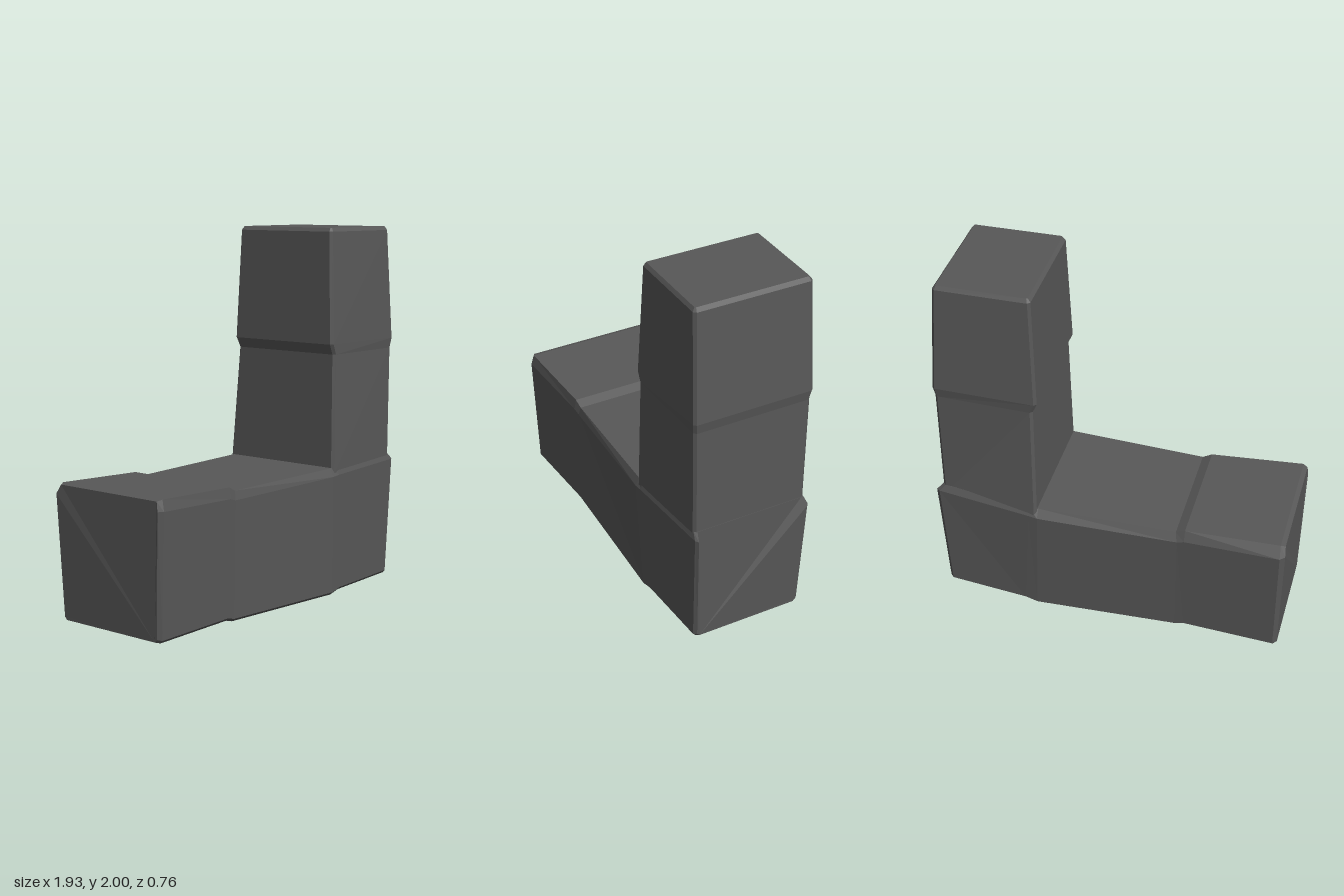
import * as THREE from 'three';

// Skin a series of matching rings into a closed, faceted solid
function loft(rings) {
  const pos = [];
  const tri = (a, b, c) => pos.push(...a, ...b, ...c);
  const n = rings[0].length;
  for (let i = 0; i < rings.length - 1; i++) {
    const p = rings[i], q = rings[i + 1];
    for (let j = 0; j < n; j++) {
      const k = (j + 1) % n;
      tri(p[j], p[k], q[k]);
      tri(p[j], q[k], q[j]);
    }
  }
  const first = rings[0], last = rings[rings.length - 1];
  for (let j = 1; j < n - 1; j++) {
    tri(first[0], first[j + 1], first[j]);
    tri(last[0], last[j], last[j + 1]);
  }
  const g = new THREE.BufferGeometry();
  g.setAttribute('position', new THREE.Float32BufferAttribute(pos, 3));
  g.computeVertexNormals();
  return g;
}

// Ring across the base: x and half-depths at the bottom, shoulder and top
function baseRing([xb, xs, xt], [yb, ys, yt], [fb, fs, ft], [bb, bs, bt]) {
  return [
    [xb, yb, fb - 0.015], [xb, yb, bb + 0.015], [xb, yb + 0.015, bb],
    [xs, ys, bs], [xt, yt, bt], [xt, yt, ft], [xs, ys, fs], [xb, yb + 0.015, fb],
  ];
}

// Ring across the column: a trapezoid with chamfered corners
function columnRing([y, x0, x1, f0, f1, b0, b1], c = 0.014) {
  return [
    [x0 + c, y, f0], [x1 - c, y, f1], [x1, y, f1 - c], [x1, y, b1 + c],
    [x1 - c, y, b1], [x0 + c, y, b0], [x0, y, b0 + c], [x0, y, f0 - c],
  ];
}

export function createModel() {
  const group = new THREE.Group();
  const stone = new THREE.MeshStandardMaterial({ color: 0x585858 });
  stone.name = 'dark stone';
  stone.flatShading = true;

  const add = (name, geometry) => {
    const mesh = new THREE.Mesh(geometry, stone);
    mesh.name = name;
    group.add(mesh);
  };

  // Long horizontal block, waisted and bevelled along its upper edges
  add('base', loft([
    baseRing([-0.955, -0.97, -0.965], [0.015, 0.67, 0.72], [0.335, 0.36, 0.35], [-0.325, -0.36, -0.33]),
    baseRing([-0.935, -0.945, -0.94], [0.01, 0.67, 0.728], [0.355, 0.38, 0.365], [-0.345, -0.385, -0.34]),
    baseRing([-0.43, -0.43, -0.43], [0.018, 0.655, 0.714], [0.33, 0.348, 0.338], [-0.32, -0.358, -0.335]),
    baseRing([-0.38, -0.39, -0.38], [0.004, 0.642, 0.69], [0.325, 0.343, 0.333], [-0.318, -0.355, -0.33]),
    baseRing([0.4, 0.37, 0.37], [0.002, 0.665, 0.71], [0.35, 0.375, 0.355], [-0.34, -0.383, -0.35]),
    baseRing([0.47, 0.42, 0.42], [0.018, 0.67, 0.713], [0.345, 0.372, 0.36], [-0.335, -0.378, -0.36]),
    baseRing([0.91, 0.942, 0.91], [0.032, 0.69, 0.727], [0.325, 0.338, 0.33], [-0.3, -0.318, -0.305]),
    baseRing([0.927, 0.96, 0.925], [0.04, 0.69, 0.727], [0.31, 0.325, 0.315], [-0.285, -0.305, -0.29]),
  ]));

  // Upright block, stepped in its middle and tapered to the top
  add('column', loft([
    columnRing([0.55, 0.4, 0.9, 0.35, 0.31, -0.35, -0.29]),
    columnRing([0.68, 0.375, 0.922, 0.367, 0.333, -0.376, -0.305]),
    columnRing([1.325, 0.39, 0.925, 0.358, 0.338, -0.328, -0.312]),
    columnRing([1.38, 0.366, 0.934, 0.36, 0.345, -0.335, -0.322]),
    columnRing([1.98, 0.385, 0.897, 0.335, 0.332, -0.312, -0.31]),
    columnRing([2.0, 0.4, 0.882, 0.322, 0.32, -0.298, -0.296], 0.006),
  ]));

  return group;
}
